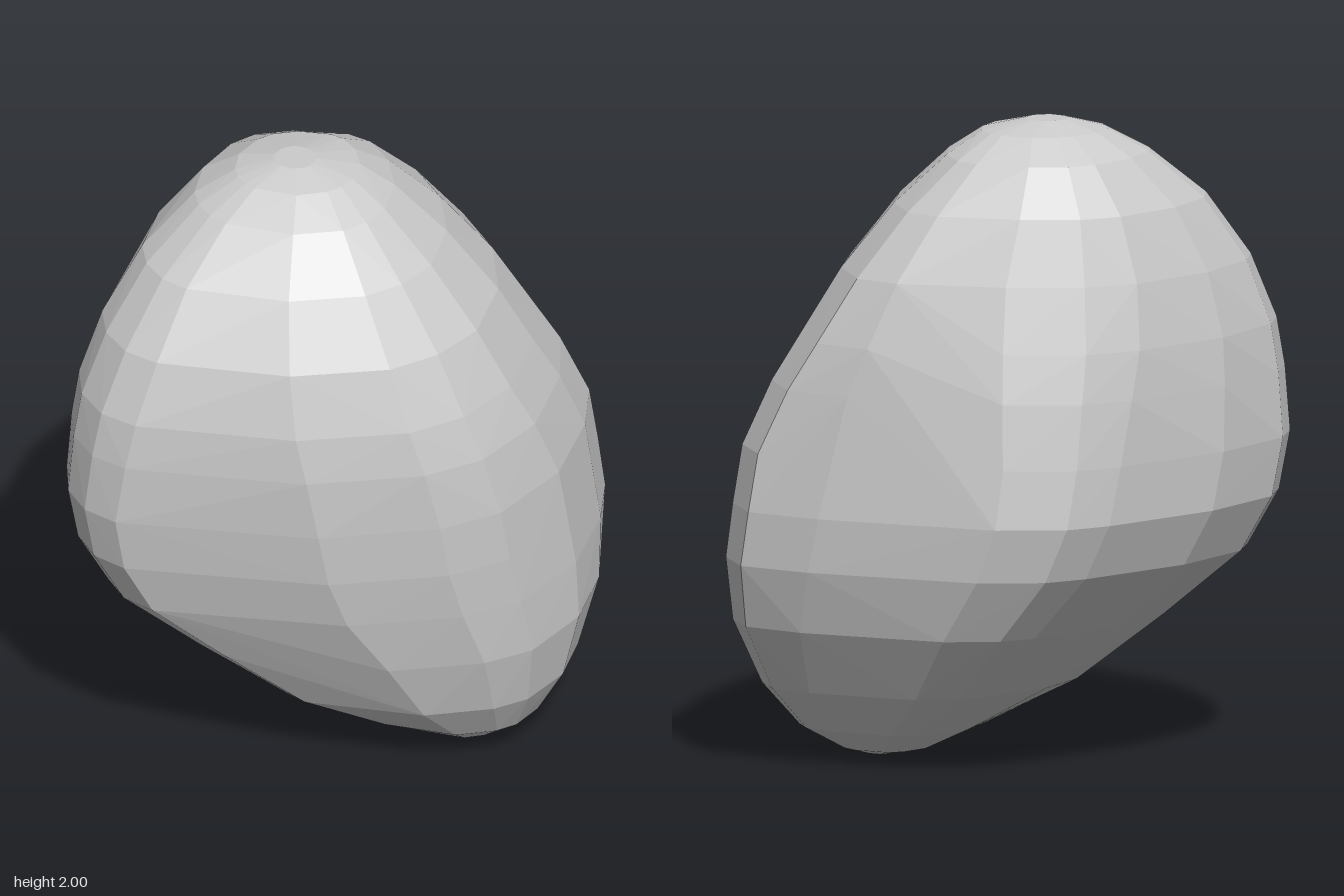
import * as THREE from 'three';
import { ConvexGeometry } from 'three/addons/geometries/ConvexGeometry.js';

const { lerp, smoothstep } = THREE.MathUtils;

// Outlines seen from above, as fractions of width and depth, point by point
const lowerOutline = [
  [0, 0.56], [0.01, 0.66], [0.05, 0.74], [0.39, 0.96], [0.61, 1], [0.73, 0.97],
  [0.87, 0.82], [0.96, 0.62], [1, 0.47], [0.98, 0.33], [0.86, 0.21], [0.55, 0.01],
  [0.42, 0], [0.34, 0.05], [0.14, 0.25], [0.02, 0.45],
];
const upperOutline = [
  [0, 0.56], [0.02, 0.68], [0.08, 0.77], [0.37, 0.95], [0.61, 1], [0.74, 0.96],
  [0.86, 0.86], [0.96, 0.65], [1, 0.42], [0.98, 0.21], [0.89, 0.11], [0.63, 0.02],
  [0.44, 0], [0.31, 0.06], [0.13, 0.24], [0.02, 0.44],
];

// Levels: height, x from/to, z from/to, roundness of the outline
const levels = [
  [2.0, -0.18, -0.05, -0.1, 0.03, 1],
  [1.97, -0.3, 0.09, -0.23, 0.14, 0.7],
  [1.9, -0.43, 0.2, -0.35, 0.26, 0.4],
  [1.75, -0.61, 0.36, -0.43, 0.41, 0.2],
  [1.55, -0.75, 0.52, -0.49, 0.53, 0.1],
  [1.35, -0.83, 0.64, -0.54, 0.59, 0],
  [1.2, -0.855, 0.73, -0.57, 0.61, 0],
  [1.0, -0.87, 0.82, -0.595, 0.61, 0],
  [0.82, -0.835, 0.85, -0.61, 0.6, 0],
  [0.65, -0.74, 0.87, -0.57, 0.58, 0],
  [0.45, -0.5, 0.845, -0.46, 0.55, 0.1],
  [0.24, -0.23, 0.75, -0.28, 0.49, 0.3],
  [0.1, 0.05, 0.63, -0.11, 0.4, 0.5],
  [0.025, 0.22, 0.5, 0.03, 0.3, 0.8],
  [0, 0.34, 0.42, 0.14, 0.22, 1],
];

export function createModel() {
  const points = [];
  for (const [y, x0, x1, z0, z1, round] of levels) {
    const upper = smoothstep(y, 0.9, 1.6);
    lowerOutline.forEach(([lowU, lowV], i) => {
      const u = lerp(lowU, upperOutline[i][0], upper);
      const v = lerp(lowV, upperOutline[i][1], upper);
      // Blend the angular outline towards an oval near the top and the foot
      const a = Math.atan2(v - 0.5, u - 0.5);
      const s = lerp(u, 0.5 + 0.5 * Math.cos(a), round);
      const t = lerp(v, 0.5 + 0.5 * Math.sin(a), round);
      points.push(new THREE.Vector3(lerp(x0, x1, s), y, lerp(z0, z1, t)));
    });
  }

  // Faceted stone: the hull around all levels
  const boulder = new THREE.Mesh(
    new ConvexGeometry(points),
    new THREE.MeshStandardMaterial({ color: 0xcccccc, flatShading: true }));
  boulder.name = 'boulder';

  const group = new THREE.Group();
  group.name = 'rock';
  group.add(boulder);
  return group;
}
